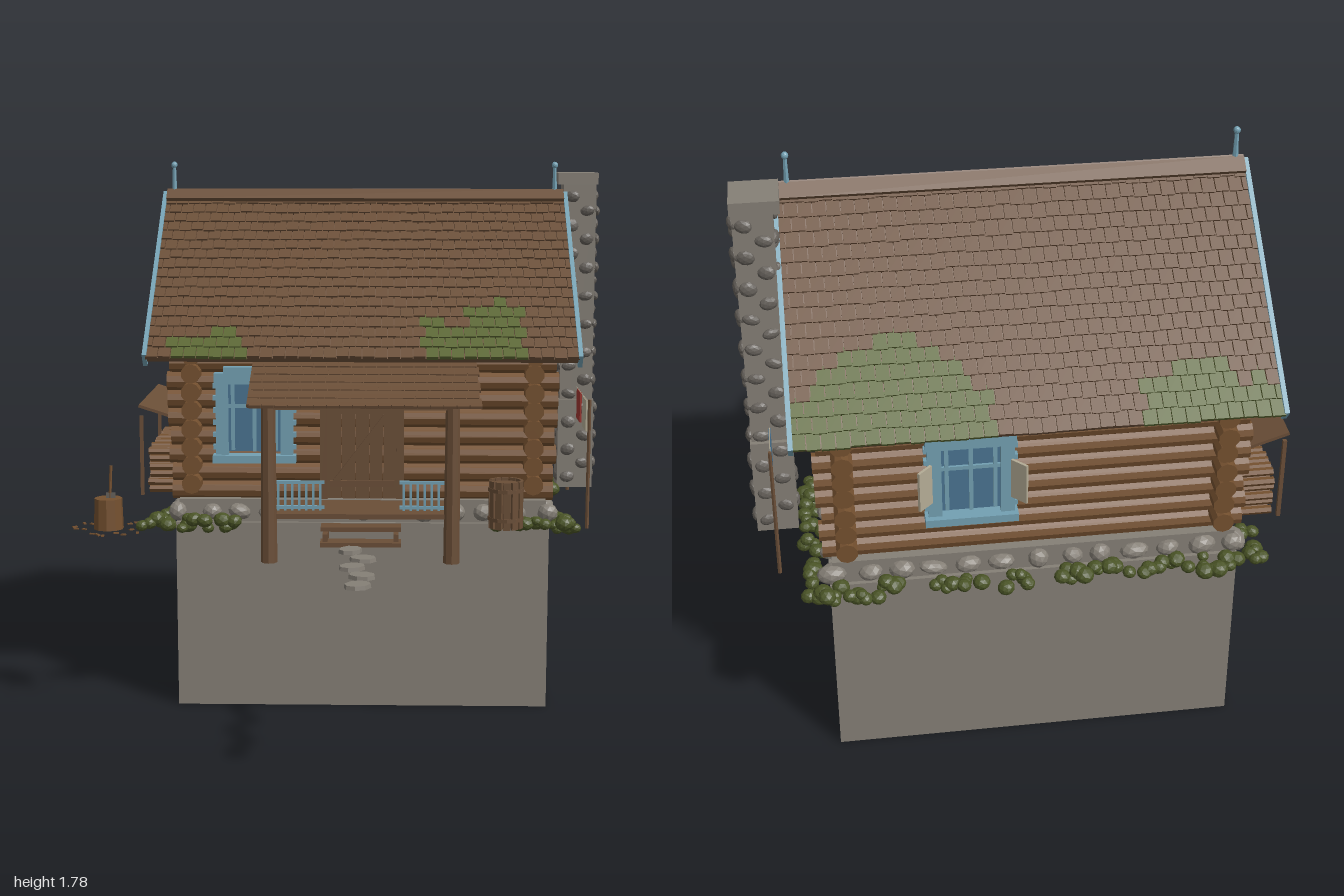
import * as THREE from 'three';
import { mergeGeometries } from 'three/addons/utils/BufferGeometryUtils.js';

let seed = 7;
const rnd = (a = 0, b = 1) => {
  seed = (seed * 16807) % 2147483647;
  return a + (b - a) * (seed / 2147483647);
};

const mat = (name, color) => Object.assign(new THREE.MeshStandardMaterial({ color }), { name });

// Every piece becomes faceted and is placed in its group's frame
function place(geo, x, y, z, rx = 0, ry = 0, rz = 0) {
  const g = geo.index ? geo.toNonIndexed() : geo;
  g.deleteAttribute('uv');
  g.computeVertexNormals();
  return g.applyMatrix4(new THREE.Matrix4().makeRotationFromEuler(new THREE.Euler(rx, ry, rz)).setPosition(x, y, z));
}
const box = (w, h, d, ...p) => place(new THREE.BoxGeometry(w, h, d), ...p);
const cyl = (r1, r2, h, n, ...p) => place(new THREE.CylinderGeometry(r1, r2, h, n), ...p);
const logX = (r, len, x, y, z) => cyl(r, r, len, 10, x, y, z, 0, 0, Math.PI / 2);
const logZ = (r, len, x, y, z) => cyl(r, r, len, 10, x, y, z, Math.PI / 2);
const rock = (sx, sy, sz, x, y, z) =>
  place(new THREE.IcosahedronGeometry(1, 1).scale(sx, sy, sz), x, y, z, rnd(-0.25, 0.25), rnd(-0.3, 0.3), rnd(-0.25, 0.25));

export function createModel() {
  seed = 7;
  const M = {
    log: mat('logWood', 0x74502f), roof: mat('weatheredWood', 0x6a4e37), moss: mat('moss', 0x5a6632),
    trim: mat('paleBlueTrim', 0x73a0b2), stone: mat('stone', 0x857f76), dark: mat('darkStone', 0x66615b),
    bush: mat('shrubGreen', 0x4a5426), red: mat('redCloth', 0x9c352f), linen: mat('linen', 0xb3ab95),
    blue: mat('deepBlue', 0x4a7391),
  };
  const root = new THREE.Group();
  const add = (name, m, list, parent = root) => {
    const mesh = new THREE.Mesh(mergeGeometries(list), m);
    mesh.name = name;
    parent.add(mesh);
    return mesh;
  };
  const CX = 0.04, CZ = -0.378, XL = -0.515, XR = 0.595, ZF = 0.08, ZB = -0.835;

  // Foundation block with a rubble skirt
  add('foundation', M.stone, [box(1.22, 0.62, 1.035, CX, 0.31, CZ), box(1.2, 0.08, 1.01, CX, 0.655, CZ)]);
  const rubble = [], shrubs = [];
  for (let i = 0; i < 13; i++) {
    const x = -0.56 + i * 0.1;
    for (const z of [0.13, -0.885])
      rubble.push(rock(rnd(0.03, 0.045), rnd(0.02, 0.033), 0.03, x + rnd(-0.01, 0.01), 0.655, z));
    if (i > 10) continue;
    for (const x2 of [-0.565, 0.645])
      rubble.push(rock(0.03, rnd(0.02, 0.033), rnd(0.03, 0.045), x2, 0.655, 0.11 - i * 0.098));
  }
  add('foundationRocks', M.stone, rubble);

  // Shrubs around the base
  const shrub = (x, z) => {
    for (let k = 0; k < 3; k++) {
      const s = rnd(0.014, 0.025);
      shrubs.push(rock(s * 1.2, s, s * 1.2, x + rnd(-0.03, 0.03), 0.62 + rnd(-0.012, 0.018), z + rnd(-0.025, 0.025)));
    }
  };
  for (let x = -0.65; x < 0.74; x += 0.055) {
    if (x < -0.37 || x > 0.45) shrub(x, 0.17);
    if (rnd() < 0.75) shrub(x, -0.935);
  }
  for (let z = 0.15; z > -0.95; z -= 0.06) {
    if (z > 0.04 || z < -0.6 || rnd() < 0.55) shrub(0.69, z);
    if (z > 0 || z < -0.78) shrub(-0.62, z);
  }
  add('shrubs', M.bush, shrubs);

  // Interlocking log walls, gables and purlins
  const logs = [box(XR - XL, 0.5, ZF - ZB, CX, 0.93, CZ)];
  for (let i = 0; i < 8; i++) {
    for (const z of [ZF, ZB]) logs.push(logX(0.032, 1.26 + rnd(-0.02, 0.02), CX, 0.72 + i * 0.06, z));
    for (const x of [XL, XR]) logs.push(logZ(0.032, 1.06 + rnd(-0.02, 0.02), x, 0.75 + i * 0.06, CZ));
  }
  for (let y = 1.225; y < 1.57; y += 0.058)
    for (const x of [XL, XR]) logs.push(logZ(0.032, (1.6 - y) * 2.5, x, y, CZ));
  for (const [y, z] of [[1.35, -0.14], [1.35, -0.62], [1.6, -0.38], [1.17, ZF], [1.17, ZB]])
    logs.push(logX(0.026, 1.33, CX, y, z));
  add('logWalls', M.log, logs);

  // Shingled roof with moss patches
  const slope = Math.atan2(0.49, 0.61), L = 0.785, rows = 17, cols = 34;
  const mossy = (x, z) => {
    const n = rnd(-0.02, 0.02);
    if (z > CZ) return (x > -0.57 && x < -0.34 && z > 0.14 + n * 2) ||
      (x > 0.24 && x < 0.56 && z > 0.1 - 0.25 * Math.max(0, 0.1 - Math.abs(x - 0.46)) * 4 + n * 2);
    return (x < -0.25 && z < -0.9 + n) || (x > -0.5 && x < -0.33 && z < -0.84 + n) ||
      Math.hypot((x - 0.45) / 0.29, (z + 1.0) / 0.24) < 1 + n * 3;
  };
  for (const side of [1, -1]) {
    const g = new THREE.Group();
    g.name = side > 0 ? 'frontRoof' : 'backRoof';
    const plain = [box(1.37, 0.016, L, 0, -0.02, L / 2)], green = [];
    for (let r = 0; r < rows; r++) for (let c = 0; c <= cols; c++) {
      const w = 1.38 / cols, half = r % 2 ? w / 2 : 0;
      const a = Math.max(-0.69, -0.69 + c * w - half), b = Math.min(0.69, -0.69 + (c + 1) * w - half);
      if (b - a < 0.005) continue;
      const x = (a + b) / 2, s = (r + 0.5) * L / rows + rnd(-0.003, 0.003);
      (mossy(CX + side * x, -0.38 + side * s * Math.cos(slope)) ? green : plain)
        .push(box(b - a - 0.003, 0.011, L / rows + 0.012, x, -0.006, s, -0.11));
    }
    add('shingles', M.roof, plain, g);
    add('mossyShingles', M.moss, green, g);
    // Bargeboards with a beaded lower edge
    const boards = [];
    for (const x of [-0.692, 0.692]) {
      boards.push(box(0.014, 0.05, L + 0.01, x, -0.018, L / 2));
      for (let s = 0.04; s < L; s += 0.03) boards.push(box(0.01, 0.014, 0.016, x, -0.048, s));
    }
    add('bargeboards', M.trim, boards, g);
    g.position.set(CX, 1.672, -0.38);
    g.rotation.set(slope, side > 0 ? 0 : Math.PI, 0, 'YXZ');
    root.add(g);
  }
  add('ridgeCap', M.roof, [1, -1].map(s => box(1.37, 0.014, 0.05, CX, 1.668, -0.38 + s * 0.02, s * slope)));

  // Ridge finials and gable pendants
  const finials = [];
  for (const x of [-0.62, 0.695]) {
    finials.push(cyl(0.006, 0.01, 0.12, 6, x, 1.71, -0.38), rock(0.011, 0.012, 0.011, x, 1.77, -0.38));
  }
  for (const x of [-0.648, 0.728]) finials.push(box(0.012, 0.1, 0.025, x, 1.58, -0.38), box(0.01, 0.03, 0.05, x, 1.6, -0.38));
  add('finials', M.trim, finials);

  // Stone chimney with protruding rubble
  add('chimney', M.stone, [box(0.115, 1.1, 0.1, 0.795, 1.17, -0.537), box(0.125, 0.32, 0.122, 0.795, 0.78, -0.54),
    box(0.14, 0.04, 0.14, 0.787, 1.722, -0.54)]);
  const chimneyRocks = [];
  for (let i = 0; i < 21; i++) {
    const y = 0.66 + i * 0.05, o = (i % 2 ? 1 : -1) * 0.027, e = y < 0.94 ? 0.01 : 0, t = rnd(0.017, 0.024);
    chimneyRocks.push(rock(0.014, t, 0.027, 0.853 + e / 2, y, -0.537 + o), rock(0.014, t, 0.025, 0.738, y, -0.537 - o));
    for (const s of [1, -1]) chimneyRocks.push(rock(0.027, t, 0.013, 0.795 + s * o, y, -0.538 + s * (0.05 + e)));
  }
  add('chimneyRocks', M.dark, chimneyRocks);

  // Framed windows, some with open shutters
  const makeWindow = (name, x, z, ry, shutters) => {
    const g = new THREE.Group();
    g.name = name;
    add('pane', M.blue, [box(0.19, 0.23, 0.015, 0, 0, 0.01)], g);
    const f = [box(0.27, 0.025, 0.05, 0, -0.137, 0.025), box(0.26, 0.035, 0.035, 0, 0.125, 0.02),
      box(0.2, 0.025, 0.03, 0, 0.15, 0.02), box(0.012, 0.23, 0.02, 0, 0, 0.015), box(0.18, 0.012, 0.02, 0, 0.035, 0.015)];
    for (const s of [-1, 1]) {
      f.push(box(0.04, 0.25, 0.03, s * 0.105, 0, 0.017), box(0.012, 0.22, 0.024, s * 0.07, 0, 0.014));
      for (let y = -0.1; y < 0.11; y += 0.04) f.push(box(0.012, 0.016, 0.02, s * 0.129, y, 0.015));
    }
    add('windowFrame', M.trim, f, g);
    if (shutters) add('shutters', M.linen, [-1, 1].map(s => box(0.055, 0.13, 0.008, s * 0.135, 0, 0.062, 0, -s * Math.PI / 4)), g);
    g.position.set(x, 0.97, z);
    g.rotation.y = ry;
    root.add(g);
  };
  makeWindow('frontWindow', -0.31, 0.113, 0, false);
  makeWindow('backWindow', 0.23, -0.868, Math.PI, true);
  makeWindow('leftWindow', -0.548, -0.42, -Math.PI / 2, true);

  // Plank door with a diagonal brace
  const door = [];
  for (let i = 0; i < 5; i++) door.push(box(0.043, 0.34, 0.02, -0.05 + i * 0.045, 0.87, 0.12));
  for (const x of [-0.085, 0.163]) door.push(box(0.025, 0.36, 0.04, x, 0.88, 0.12));
  door.push(box(0.27, 0.025, 0.04, CX, 1.055, 0.12), box(0.02, 0.31, 0.012, CX, 0.87, 0.134, 0, 0, -0.65));
  for (const y of [0.75, 0.99]) door.push(box(0.21, 0.02, 0.012, CX, y, 0.134));
  add('door', M.roof, door);

  // Porch deck, posts, steps and shingled canopy
  const porch = [box(0.62, 0.016, 0.22, 0.038, 0.688, 0.25), box(0.6, 0.025, 0.025, 0.038, 1.04, 0.355)];
  for (const x of [-0.25, 0.325]) porch.push(cyl(0.022, 0.026, 0.5, 8, x, 0.79, 0.355));
  for (const [y, z] of [[0.66, 0.39], [0.622, 0.44]]) porch.push(box(0.25, 0.014, 0.06, CX, y, z));
  for (const x of [-0.07, 0.15]) porch.push(box(0.016, 0.035, 0.11, x, 0.635, 0.4));
  const tilt = Math.atan2(0.11, 0.3);
  porch.push(box(0.72, 0.012, 0.31, 0.047, 1.1, 0.275, tilt));
  for (let r = 0; r < 6; r++) for (let c = 0; c < 18; c++)
    porch.push(box(0.037, 0.009, 0.062, -0.294 + c * 0.04 + (r % 2) * 0.008, 1.146 - r * 0.0183, 0.157 + r * 0.049, tilt - 0.09));
  add('porch', M.roof, porch);

  // Blue porch railings
  const rails = [];
  for (const x of [-0.155, 0.24]) {
    for (const y of [0.715, 0.795]) rails.push(box(0.16, 0.01, 0.012, x, y, 0.345));
    for (let i = -3; i <= 3; i++) rails.push(box(0.008, 0.09, 0.008, x + i * 0.022, 0.75, 0.345));
  }
  for (const x of [-0.25, 0.325]) {
    for (const y of [0.715, 0.805]) rails.push(box(0.012, 0.01, 0.2, x, y, 0.245));
    for (let i = 0; i < 7; i++) rails.push(box(0.008, 0.1, 0.008, x, 0.755, 0.16 + i * 0.027));
  }
  add('railings', M.trim, rails);

  // Rain barrel of separate staves
  const barrel = [cyl(0.046, 0.046, 0.14, 12, 0.505, 0.695, 0.19)];
  for (let i = 0; i < 12; i++) {
    const a = i * Math.PI / 6;
    barrel.push(box(0.022, 0.155, 0.01, 0.505 + 0.05 * Math.sin(a), 0.697, 0.19 + 0.05 * Math.cos(a), 0, a));
  }
  for (const y of [0.65, 0.745]) barrel.push(cyl(0.058, 0.058, 0.012, 12, 0.505, y, 0.19));
  add('barrel', M.roof, barrel);

  // Firewood stack under a lean-to board
  const wood = [];
  for (let r = 0; r < 6; r++) for (let c = 0; c < 17; c++)
    wood.push(cyl(0.013, 0.013, 0.11 + rnd(-0.01, 0.01), 6, -0.658, 0.648 + r * 0.027, -0.735 + c * 0.0285 + (r % 2) * 0.012, 0, 0, Math.PI / 2));
  add('firewood', M.log, wood);
  const lean = [box(0.14, 0.01, 0.525, -0.675, 0.925, -0.503, 0, 0, -0.32)];
  for (const z of [-0.26, -0.745]) lean.push(box(0.012, 0.28, 0.012, -0.735, 0.77, z));
  add('woodShelter', M.roof, lean);

  // Chopping block, axe and wood chips
  const block = [cyl(0.045, 0.048, 0.1, 10, -0.775, 0.67, 0.24), cyl(0.005, 0.005, 0.11, 6, -0.767, 0.77, 0.24, 0, 0, -0.05)];
  for (let i = 0; i < 18; i++) {
    const a = rnd(0, 6.28), d = rnd(0.07, 0.12);
    block.push(box(0.016, 0.004, 0.009, -0.775 + d * Math.cos(a), 0.62, 0.24 + d * Math.sin(a), 0, a * 3));
  }
  add('choppingBlock', M.log, block);
  add('axeHead', M.dark, [box(0.03, 0.018, 0.008, -0.767, 0.728, 0.24)]);

  // Stepping stones
  add('steppingStones', M.stone, [[0.01, 0.53], [0.05, 0.64], [0.02, 0.745], [0.05, 0.85], [0.04, 0.96]]
    .map(([x, z]) => place(new THREE.CylinderGeometry(0.038, 0.04, 0.012, 8).scale(1.05, 1, 0.88), x, 0.62, z, 0, rnd(0, 3))));

  // Clothesline
  add('clothesPoles', M.roof, [-0.068, -0.735].map(z => cyl(0.006, 0.007, 0.44, 6, 0.797, 0.78, z)));
  add('clothesline', M.linen, [cyl(0.0015, 0.0015, 0.667, 4, 0.797, 0.985, -0.4015, Math.PI / 2)]);
  [[M.linen, -0.203], [M.red, -0.39], [M.blue, -0.573]].forEach(([m, z]) =>
    add('hangingCloth', m, [box(0.006, 0.105, 0.115, 0.797, 0.932, z)]));

  return root;
}
